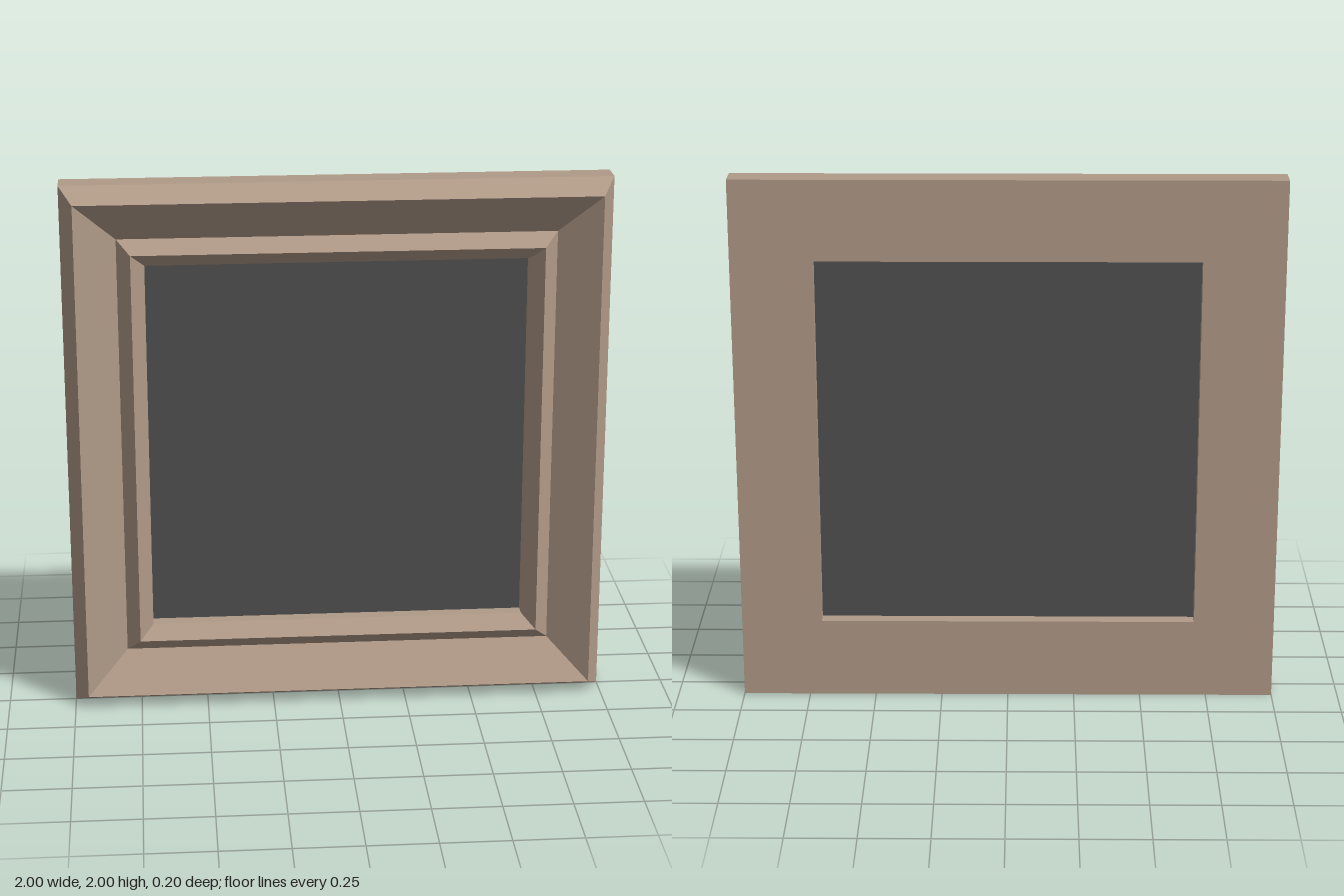
import * as THREE from 'three';

export function createModel() {
  const group = new THREE.Group();
  group.name = 'pictureFrame';

  // Moulding cross-section: [half-width, depth], closed loop
  const profile = [
    [1, -0.1], [1, 0], [0.95, 0.1], [0.8, 0],
    [0.75, 0.05], [0.7, 0], [0.7, -0.1], [1, -0.1],
  ].map(([r, z]) => new THREE.Vector2(r * Math.SQRT2, z));

  // Four-sided sweep gives the mitred corners; turned to face +z
  const mouldingGeometry = new THREE.LatheGeometry(profile, 4, Math.PI / 4)
    .rotateX(Math.PI / 2)
    .toNonIndexed();
  mouldingGeometry.computeVertexNormals();
  const moulding = new THREE.Mesh(
    mouldingGeometry,
    new THREE.MeshStandardMaterial({ color: 0xb09a88, flatShading: true })
  );
  moulding.name = 'moulding';
  moulding.position.y = 1;

  // Thin dark panel set halfway into the opening
  const panel = new THREE.Mesh(
    new THREE.PlaneGeometry(1.4, 1.4),
    new THREE.MeshStandardMaterial({ color: 0x505050, side: THREE.DoubleSide })
  );
  panel.name = 'panel';
  panel.position.set(0, 1, -0.05);

  group.add(moulding, panel);
  return group;
}
